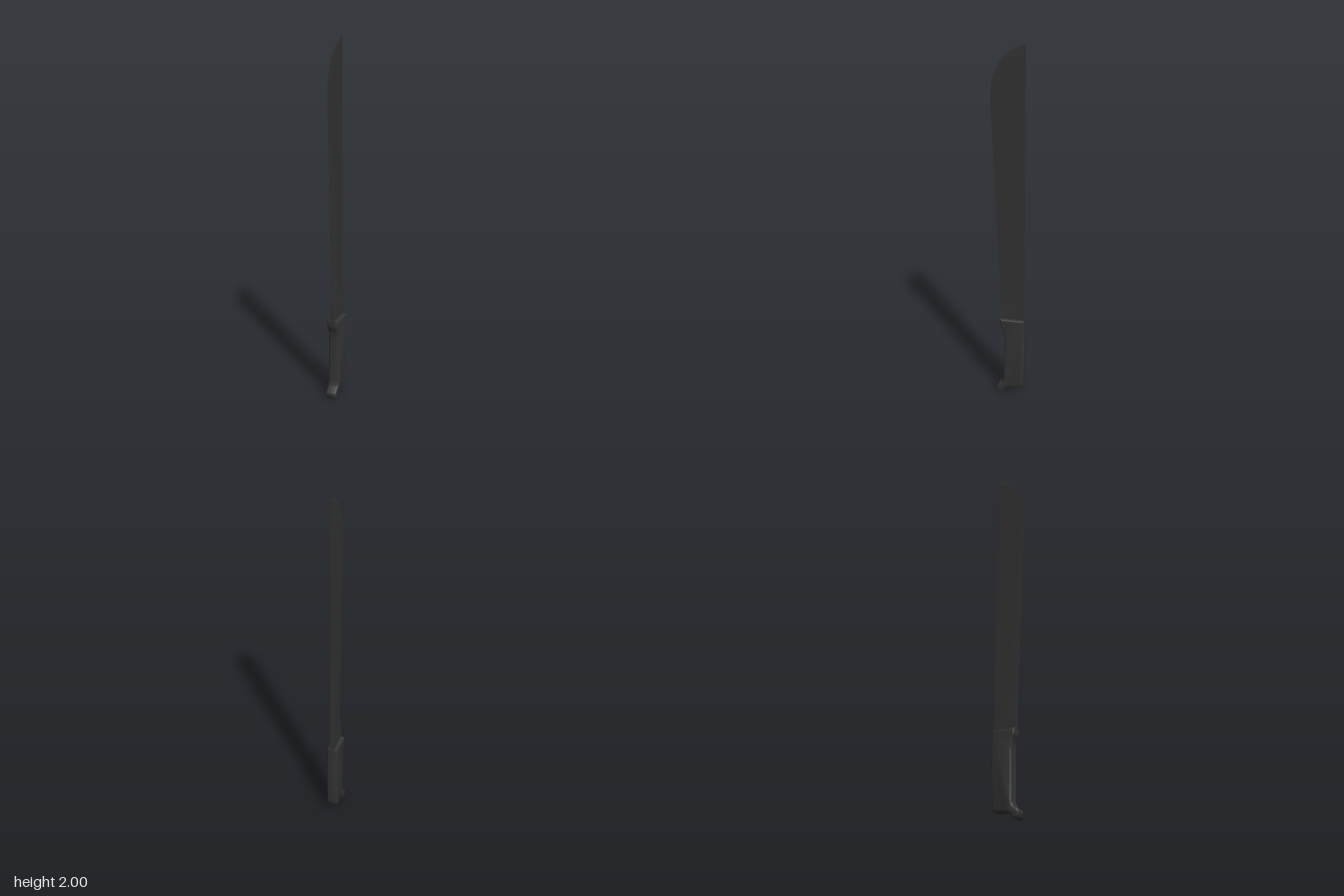
import * as THREE from 'three';
import { toCreasedNormals } from 'three/addons/utils/BufferGeometryUtils.js';

const SPINE = -0.087;

// Blade stations: height, cutting edge z, half thickness at the spine, edge sharpness (0 blunt, 1 sharp)
const STATIONS = [
  [0.44, 0.038, 0.009, 0], [0.5, 0.041, 0.009, 0], [0.53, 0.043, 0.008, 0.15],
  [0.57, 0.045, 0.0075, 0.6], [0.62, 0.047, 0.007, 1], [0.8, 0.055, 0.0065, 1],
  [1.15, 0.07, 0.0055, 1], [1.5, 0.086, 0.0045, 1], [1.67, 0.094, 0.004, 1],
  [1.74, 0.095, 0.004, 1], [1.79, 0.09, 0.0038, 1], [1.84, 0.077, 0.0036, 1],
  [1.88, 0.059, 0.0034, 1], [1.92, 0.035, 0.0032, 1], [1.95, 0.008, 0.003, 1],
  [1.975, -0.027, 0.0028, 1], [1.99, -0.056, 0.0025, 1], [2, SPINE + 0.001, 0.002, 1],
];

// Cross-section from spine to edge: position, thickness share when sharp
const SECTION = [[0, 1], [0.5, 0.85], [0.85, 0.5], [1, 0.1]];

function bladeGeometry() {
  const loop = [
    ...SECTION.map(([u, t]) => [u, t, 1]),
    ...SECTION.map(([u, t]) => [u, t, -1]).reverse(),
  ];
  const n = loop.length;
  const positions = [];
  const index = [];
  STATIONS.forEach(([y, edge, half, sharp], r) => {
    for (const [u, t, side] of loop) {
      positions.push(side * half * (1 + sharp * (t - 1)), y, SPINE + u * (edge - SPINE));
    }
    if (r === 0) return;
    for (let i = 0; i < n; i++) {
      const j = (i + 1) % n;
      const a = (r - 1) * n + i, b = (r - 1) * n + j;
      index.push(a, a + n, b, b, a + n, b + n);
    }
  });
  const geometry = new THREE.BufferGeometry();
  geometry.setAttribute('position', new THREE.Float32BufferAttribute(positions, 3));
  geometry.setIndex(index);
  return toCreasedNormals(geometry, 0.6);
}

function handleGeometry() {
  // Side outline, drawn with z to the right and y up
  const s = new THREE.Shape();
  s.moveTo(-0.091, 0.468);
  s.lineTo(-0.094, 0.24);
  s.lineTo(-0.088, 0.07);
  s.quadraticCurveTo(-0.086, 0.048, -0.068, 0.046);
  s.lineTo(-0.02, 0.044);
  s.quadraticCurveTo(0.005, 0.04, 0.018, 0.022);
  // Hooked butt
  s.quadraticCurveTo(0.034, 0, 0.048, 0);
  s.quadraticCurveTo(0.06, 0.006, 0.064, 0.03);
  s.quadraticCurveTo(0.062, 0.048, 0.045, 0.056);
  s.quadraticCurveTo(0.024, 0.068, 0.021, 0.1);
  // Grip front and upper lip
  s.lineTo(0.021, 0.35);
  s.quadraticCurveTo(0.022, 0.39, 0.032, 0.415);
  s.quadraticCurveTo(0.04, 0.43, 0.04, 0.445);
  s.lineTo(0.04, 0.468);
  s.closePath();

  const bevel = 0.009;
  const geometry = new THREE.ExtrudeGeometry(s, {
    depth: 0.06 - 2 * bevel, curveSegments: 6,
    bevelEnabled: true, bevelThickness: bevel, bevelSize: bevel, bevelOffset: -bevel, bevelSegments: 3,
  });
  geometry.translate(0, 0, -0.03 + bevel);
  geometry.rotateY(-Math.PI / 2);
  return toCreasedNormals(geometry, 0.7);
}

export function createModel() {
  const steel = new THREE.MeshStandardMaterial({ color: 0x323232 });
  steel.name = 'blackened steel';
  const grip = new THREE.MeshStandardMaterial({ color: 0x343434 });
  grip.name = 'dark grip';

  const group = new THREE.Group();
  group.name = 'machete';
  const add = (name, geometry, material) => {
    const mesh = new THREE.Mesh(geometry, material);
    mesh.name = name;
    group.add(mesh);
  };
  add('blade', bladeGeometry(), steel);
  add('handle', handleGeometry(), grip);
  return group;
}
